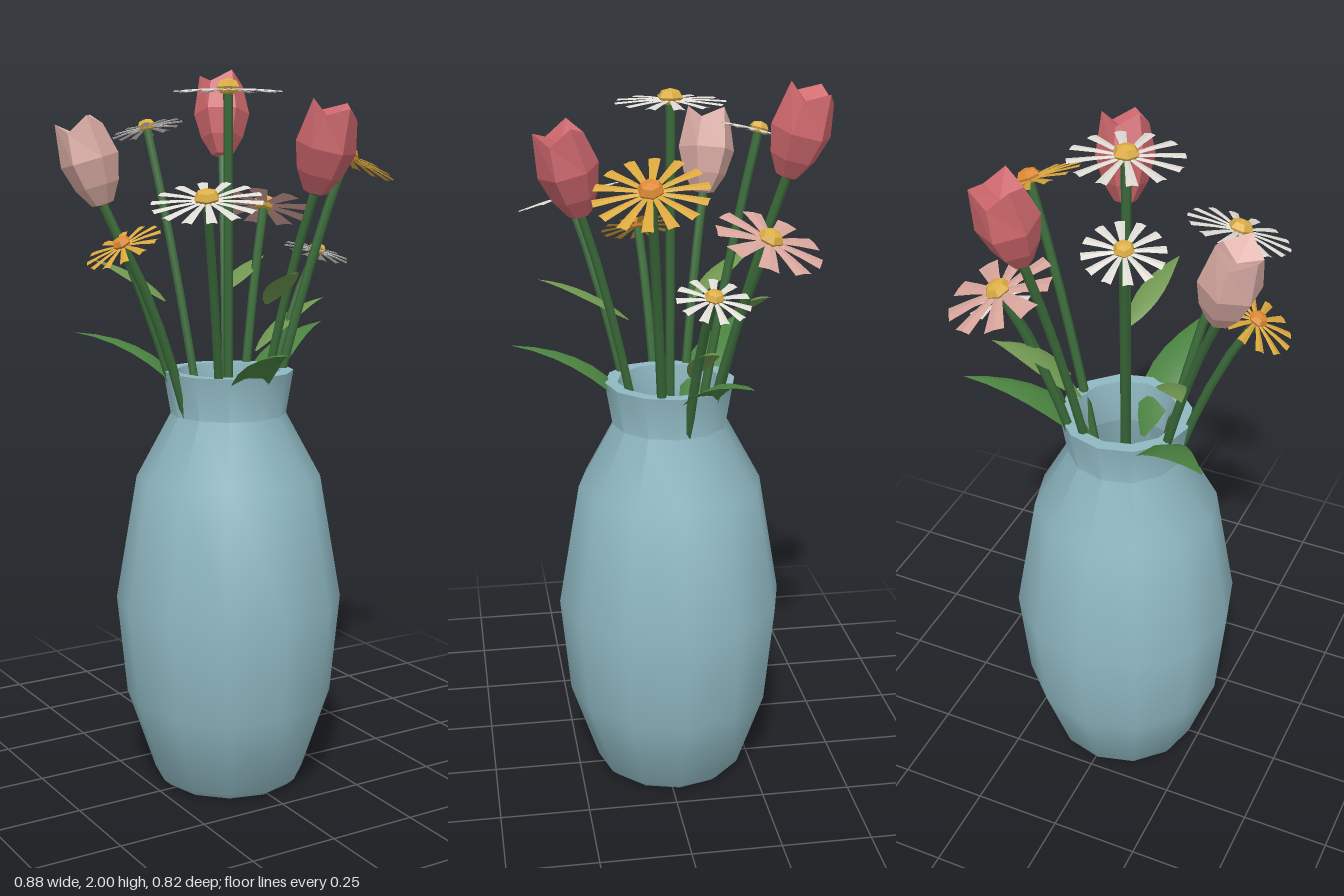
import * as THREE from 'three';
import { toCreasedNormals } from 'three/addons/utils/BufferGeometryUtils.js';

const V = (x, y, z) => new THREE.Vector3(x, y, z);
const CX = -0.013, CZ = -0.02; // vase axis
const UP = V(0, 1, 0);

function add(parent, name, geometry, color, options = {}) {
  const mesh = new THREE.Mesh(geometry, new THREE.MeshStandardMaterial({ color, ...options }));
  mesh.name = name;
  parent.add(mesh);
  return mesh;
}

// Vase: outer wall, rim and inner wall in one turned profile
function vase() {
  const profile = [
    [0, 0], [0.19, 0], [0.212, 0.02], [0.29, 0.25], [0.317, 0.53], [0.257, 0.88], [0.16, 1.06], [0.18, 1.18],
    [0.145, 1.18], [0.13, 1.06], [0.225, 0.87], [0.285, 0.53], [0.26, 0.26], [0.18, 0.05], [0, 0.05],
  ].map(([r, y]) => new THREE.Vector2(r, y));
  return toCreasedNormals(new THREE.LatheGeometry(profile, 12), 0.75);
}

// Stem: leaves the vase steeply and bends outwards to the flower
function stem(head) {
  const dx = head.x - CX, dz = head.z - CZ;
  const curve = new THREE.QuadraticBezierCurve3(
    V(CX + dx * 0.08, 0.6, CZ + dz * 0.08),
    V(CX + dx * 0.5, 1.2 + (head.y - 1.2) * 0.22, CZ + dz * 0.5),
    head);
  return new THREE.TubeGeometry(curve, 8, 0.013, 6);
}

// Group at the stem tip, leaning away from the vase axis
function headGroup(name, pos, tilt) {
  const g = new THREE.Group();
  g.name = name;
  g.position.copy(pos);
  const dir = V(pos.x - CX, 0, pos.z - CZ);
  if (dir.length() > 0.01) {
    const axis = V(dir.z, 0, -dir.x).normalize();
    g.quaternion.setFromAxisAngle(axis, tilt);
  }
  return g;
}

// Daisy petal: wedge widening to the tip, with a slight crosswise arch
function petalGeometry(radius, width) {
  const g = new THREE.PlaneGeometry(1, 1, 2, 2).rotateX(-Math.PI / 2);
  const p = g.attributes.position;
  for (let i = 0; i < p.count; i++) {
    const t = p.getZ(i) + 0.5, s = p.getX(i) * 2;
    p.setXYZ(i, s * width * (0.2 + 0.3 * t), 0.003 - 0.006 * t * t - 0.003 * s * s, 0.018 + t * (radius - 0.018));
  }
  g.computeVertexNormals();
  return g;
}

function daisy({ pos, radius, count, width, color, disc, tilt = 0.42 }) {
  const p = V(...pos), g = headGroup('daisy', p, tilt);
  const petal = petalGeometry(radius, width);
  for (let i = 0; i < count; i++) {
    add(g, 'petal', petal, color, { side: THREE.DoubleSide, flatShading: true })
      .rotation.y = (i / count) * Math.PI * 2;
  }
  const r = radius > 0.12 ? 0.035 : 0.027;
  add(g, 'flowerCentre', new THREE.SphereGeometry(r, 6, 4).scale(1, 0.65, 1), disc, { flatShading: true })
    .position.y = 0.008;
  return g;
}

// Tulip: six-sided cup with alternating high and low tips
function tulipGeometry() {
  const profile = [[0, 0], [0.03, 0.005], [0.06, 0.055], [0.08, 0.125], [0.062, 0.222], [0, 0.19]]
    .map(([r, y]) => new THREE.Vector2(r, y));
  const g = new THREE.LatheGeometry(profile, 6), p = g.attributes.position;
  for (let i = 0; i < p.count; i++) {
    if (p.getY(i) < 0.2) continue;
    const k = Math.round(Math.atan2(p.getX(i), p.getZ(i)) / (Math.PI / 3));
    p.setY(i, Math.abs(k) % 2 ? 0.208 : 0.24);
  }
  return g;
}

// Leaf: blade swept along a curve, widest before the middle, folded at the midrib
function leafGeometry(a, b, c, width) {
  const curve = new THREE.QuadraticBezierCurve3(a, b, c);
  const side = V(c.z - a.z, 0, a.x - c.x).normalize();
  const g = new THREE.PlaneGeometry(1, 1, 2, 8).rotateX(-Math.PI / 2);
  const p = g.attributes.position;
  for (let i = 0; i < p.count; i++) {
    const t = p.getZ(i) + 0.5, s = p.getX(i) * 2;
    const w = width * 0.5 * (0.12 * (1 - t) + 0.95 * Math.sin(Math.PI * Math.pow(t, 0.85)));
    const q = curve.getPoint(t).addScaledVector(side, s * w);
    q.y -= Math.abs(s) * w * 0.3;
    p.setXYZ(i, q.x, q.y, q.z);
  }
  g.computeVertexNormals();
  return g;
}

export function createModel() {
  const model = new THREE.Group();
  model.name = 'vaseOfFlowers';
  add(model, 'vase', vase(), 0x8fb8c2).position.set(CX, 0, CZ);

  const white = 0xdedad4, gold = 0xdcae45, orange = 0xdd8a35, yellow = 0xd9a63c;
  const green = 0x3b6b3a;
  const daisies = [
    { pos: [CX, 1.935, CZ], radius: 0.145, count: 12, width: 0.03, color: white, disc: gold, tilt: 0 },
    { pos: [-0.123, 1.835, -0.277], radius: 0.1, count: 12, width: 0.025, color: white, disc: gold, tilt: 0.3 },
    { pos: [-0.223, 1.655, 0.23], radius: 0.142, count: 14, width: 0.028, color: white, disc: gold, tilt: 0.33 },
    { pos: [-0.353, 1.535, 0.019], radius: 0.105, count: 12, width: 0.025, color: yellow, disc: orange, tilt: 0.52 },
    { pos: [0.305, 1.76, 0.078], radius: 0.145, count: 14, width: 0.03, color: yellow, disc: orange, tilt: 0.46 },
    { pos: [0.235, 1.615, -0.235], radius: 0.142, count: 9, width: 0.055, color: 0xd8a59c, disc: gold },
    { pos: [0.315, 1.49, -0.078], radius: 0.095, count: 11, width: 0.025, color: white, disc: gold, tilt: 0.38 },
  ];
  for (const d of daisies) {
    model.add(daisy(d));
    add(model, 'daisyStem', stem(V(...d.pos)), green);
  }

  const cup = tulipGeometry();
  const tulips = [
    [[-0.318, 1.63, -0.163], 0xd8aaa2],
    [[0.132, 1.755, -0.297], 0xcf686c],
    [[0.1, 1.665, 0.228], 0xc8646a],
  ];
  for (const [pos, color] of tulips) {
    const p = V(...pos), head = headGroup('tulip', p, 0.28);
    add(head, 'tulipCup', cup, color, { flatShading: true, side: THREE.DoubleSide });
    model.add(head);
    add(model, 'tulipStem', stem(p), green);
  }

  // Three broad leaves arching over the rim
  for (const [x, z] of [[-0.088, 0.41], [-0.348, -0.305], [0.398, -0.17]]) {
    const dir = V(x - CX, 0, z - CZ).normalize();
    const at = (r, y) => V(CX + dir.x * r, y, CZ + dir.z * r);
    add(model, 'rimLeaf', leafGeometry(at(0.08, 1.05), at(0.17, 1.27), V(x, 1.275, z), 0.11),
      0x4a8240, { side: THREE.DoubleSide });
  }

  // Smaller leaves growing from the stems
  const stemLeaves = [
    [[0.035, 1.37, 0.1], [-0.015, 1.475, 0.335]],
    [[-0.16, 1.37, -0.11], [-0.287, 1.475, -0.305]],
    [[0.1, 1.22, -0.06], [0.35, 1.355, -0.09]],
    [[0.07, 1.38, -0.18], [0.24, 1.47, -0.24]],
  ];
  for (const [a, c] of stemLeaves) {
    const base = V(...a), tip = V(...c);
    const mid = base.clone().lerp(tip, 0.45).setY(tip.y - 0.01);
    add(model, 'stemLeaf', leafGeometry(base, mid, tip, 0.07), 0x6f9650, { side: THREE.DoubleSide });
  }
  return model;
}
